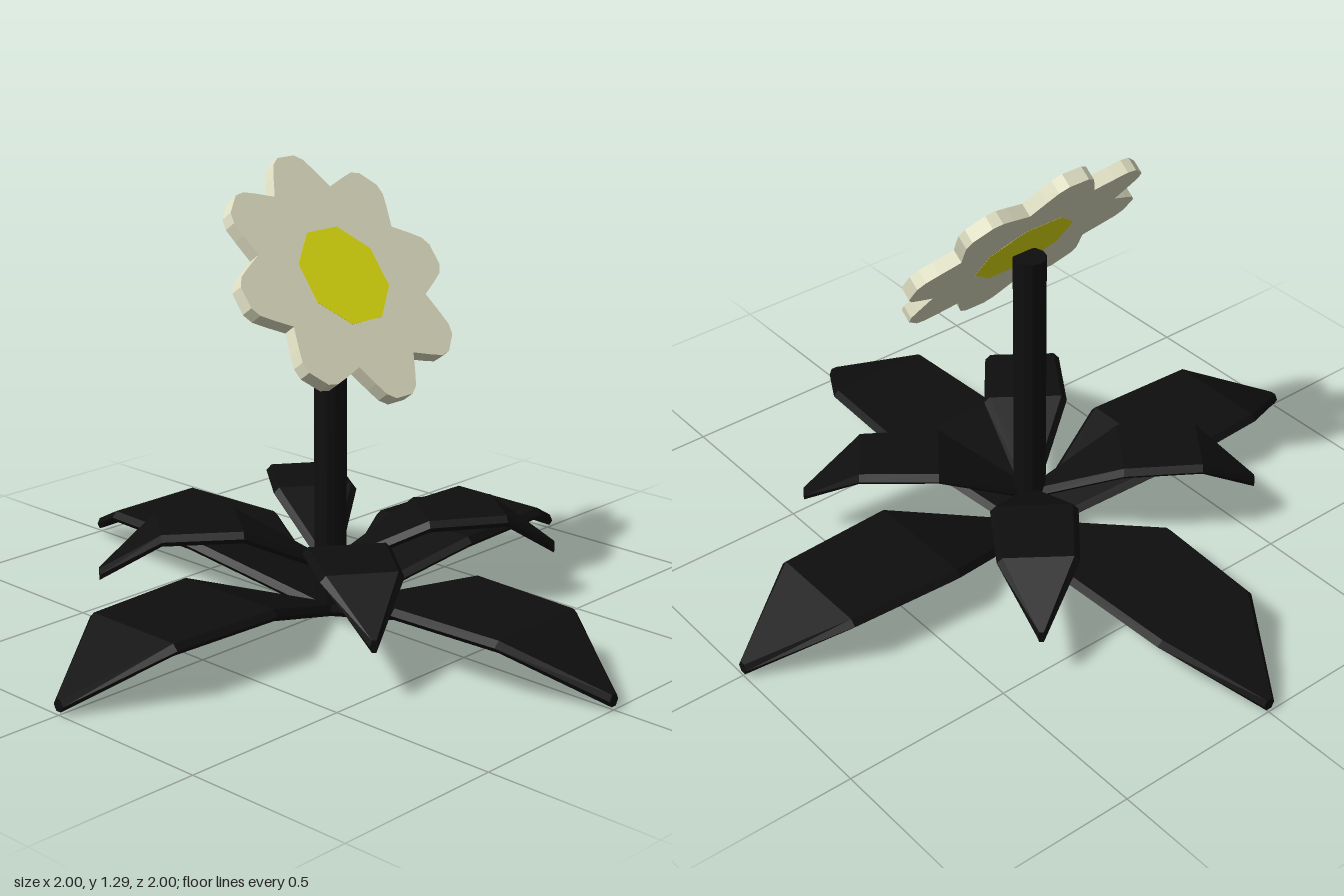
import * as THREE from 'three';

const material = (color) => new THREE.MeshStandardMaterial({ color, flatShading: true });

// Leaf along +x, lofted through bevelled cross-sections: [x, y, half width]
function leafGeometry(scale, lift) {
  const t = 0.017;
  const sections = [
    [0.03, 0.018, 0.045],
    [0.4, 0.148, 0.188],
    [0.745, 0.148, 0.172],
    [1.0, 0.028, 0.018],
  ];
  const positions = [];
  const index = [];
  for (const [x, y, width] of sections) {
    const w = width * scale;
    const b = w - Math.min(0.016, w * 0.5);
    for (const [dy, z] of [[t, b], [0, w], [-t, b], [-t, -b], [0, -w], [t, -b]]) {
      positions.push(x * scale, y + lift + dy, z);
    }
  }
  const last = (sections.length - 1) * 6;
  for (let s = 0; s < last; s += 6) {
    for (let k = 0; k < 6; k++) {
      const n = (k + 1) % 6;
      index.push(s + k, s + n, s + 6 + k, s + n, s + 6 + n, s + 6 + k);
    }
  }
  // End caps
  for (let k = 1; k < 5; k++) {
    index.push(0, k + 1, k, last, last + k, last + k + 1);
  }
  const geometry = new THREE.BufferGeometry();
  geometry.setAttribute('position', new THREE.Float32BufferAttribute(positions, 3));
  geometry.setIndex(index);
  geometry.computeVertexNormals();
  return geometry;
}

// Eight petals as one outline, each with a blunt tip
function petalOutline() {
  const points = [];
  const petal = [[0.263, -0.109], [0.32, -0.079], [0.356, -0.058], [0.374, -0.032],
    [0.374, 0.032], [0.356, 0.058], [0.32, 0.079]];
  for (let i = 0; i < 8; i++) {
    const a = (i * Math.PI) / 4;
    for (const [x, y] of petal) {
      points.push(new THREE.Vector2(x, y).rotateAround(new THREE.Vector2(), a));
    }
  }
  return points;
}

function octagon(radius) {
  return Array.from({ length: 8 }, (_, i) => {
    const a = ((i + 0.5) * Math.PI) / 4;
    return new THREE.Vector2(radius * Math.cos(a), radius * Math.sin(a));
  });
}

function slab(shape, depth) {
  return new THREE.ExtrudeGeometry(shape, { depth, bevelEnabled: false }).translate(0, 0, -depth / 2);
}

export function createModel() {
  const model = new THREE.Group();
  model.name = 'flower';
  const green = material(0x0e0e0e);

  const add = (parent, name, geometry, mat) => {
    const mesh = new THREE.Mesh(geometry, mat);
    mesh.name = name;
    parent.add(mesh);
    return mesh;
  };

  // Stem
  add(model, 'stem', new THREE.CylinderGeometry(0.047, 0.047, 0.93, 12), green).position.y = 0.475;

  // Large lower leaves and small upper leaves, four of each
  const large = leafGeometry(1, 0);
  const small = leafGeometry(0.655, 0.128);
  for (let i = 0; i < 4; i++) {
    const turn = (i * Math.PI) / 2;
    add(model, 'lowerLeaf', large, green).rotation.y = turn;
    add(model, 'upperLeaf', small, green).rotation.y = turn - THREE.MathUtils.degToRad(36.5);
  }

  // Flower head, tilted back
  const head = new THREE.Group();
  head.name = 'flowerHead';
  head.position.set(0.01, 0.977, 0.027);
  head.rotation.x = -0.6435;
  model.add(head);

  const petals = new THREE.Shape(petalOutline());
  petals.holes.push(new THREE.Path(octagon(0.154)));
  add(head, 'petals', slab(petals, 0.04), material(0xe0e0c4));
  add(head, 'flowerCentre', slab(new THREE.Shape(octagon(0.154)), 0.041), material(0xe2e210));

  return model;
}
